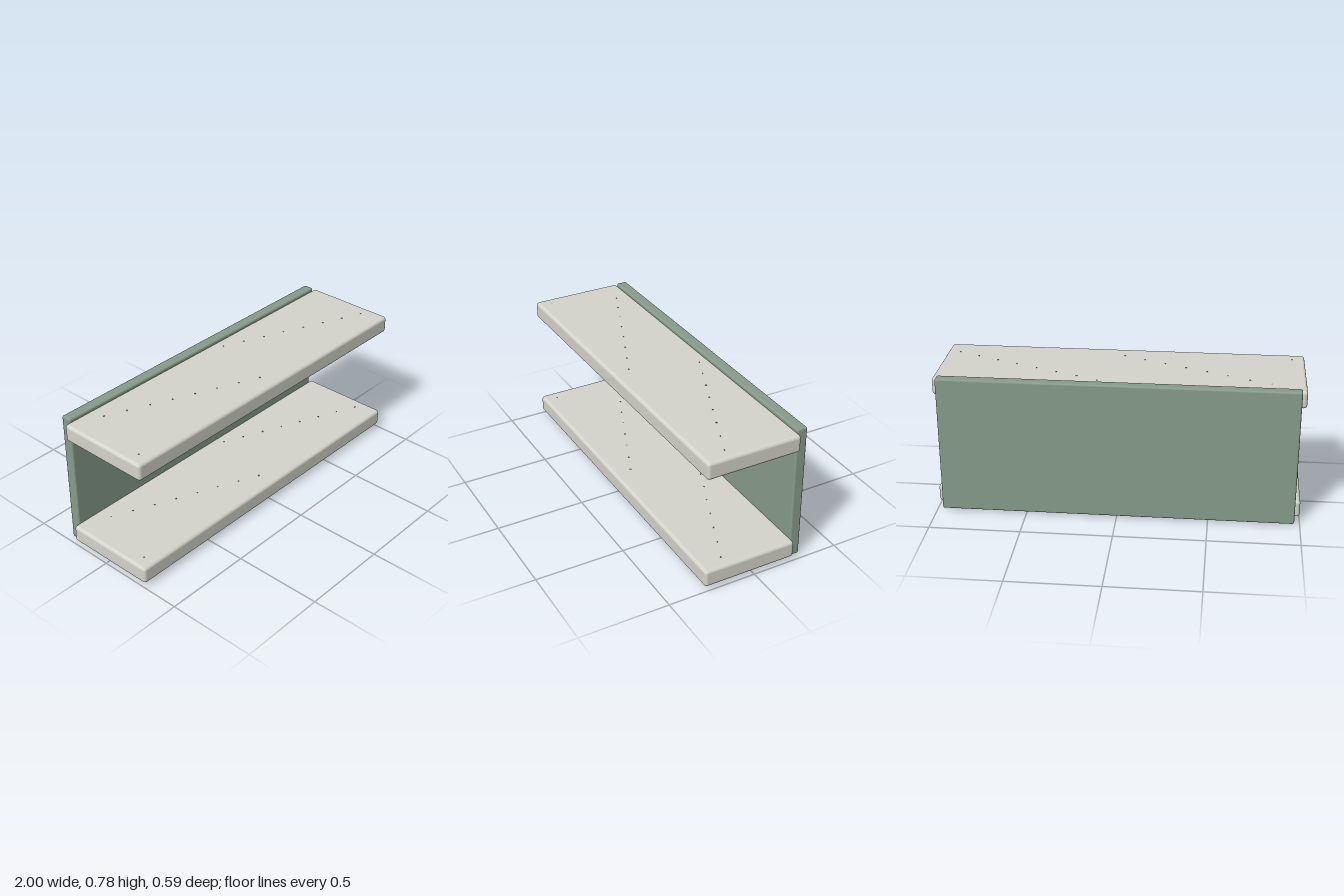
import * as THREE from 'three';
import { RoundedBoxGeometry } from 'three/addons/geometries/RoundedBoxGeometry.js';

const cream = new THREE.MeshStandardMaterial({ color: 0xd4d4cb });
const green = new THREE.MeshStandardMaterial({ color: 0x879c8a });
const dark = new THREE.MeshStandardMaterial({ color: 0x77776f });

// Rounded block given by its extents along each axis
function block(name, [x0, x1], [y0, y1], [z0, z1], radius, material) {
  const geometry = new RoundedBoxGeometry(x1 - x0, y1 - y0, z1 - z0, 4, radius);
  const mesh = new THREE.Mesh(geometry, material);
  mesh.position.set((x0 + x1) / 2, (y0 + y1) / 2, (z0 + z1) / 2);
  mesh.name = name;
  return mesh;
}

// One shelf with its surface specks and two support brackets; y is the underside
function shelf(name, y) {
  const group = new THREE.Group();
  group.name = name;
  const top = y + 0.0975;
  group.add(block('shelfBoard', [-1, 1], [y, top], [-0.24, 0.293], 0.018, cream));

  for (const side of [-1, 1]) {
    const x = side * 0.677;
    group.add(block('shelfBracket', [x - 0.031, x + 0.031], [y - 0.024, y + 0.012], [-0.25, -0.152], 0.007, green));
  }

  // Specks run in diagonal rows that wrap across the depth
  for (let i = 0; i < 17; i++) {
    let z = 0.22 + 0.0487 * i;
    while (z > 0.23) z -= 0.4195;
    const radius = 0.004 + 0.001 * (i % 3) / 2;
    const speck = new THREE.Mesh(new THREE.CylinderGeometry(radius, radius, 0.004, 8), dark);
    speck.position.set(-0.93 + 0.116 * i, top, z);
    speck.name = 'surfaceSpeck';
    group.add(speck);
  }
  return group;
}

export function createModel() {
  const model = new THREE.Group();
  model.name = 'wallShelf';
  model.add(block('backPanel', [-0.97, 0.97], [0.009, 0.784], [-0.293, -0.233], 0.01, green));
  model.add(shelf('lowerShelf', 0.025));
  model.add(shelf('upperShelf', 0.67));
  return model;
}
